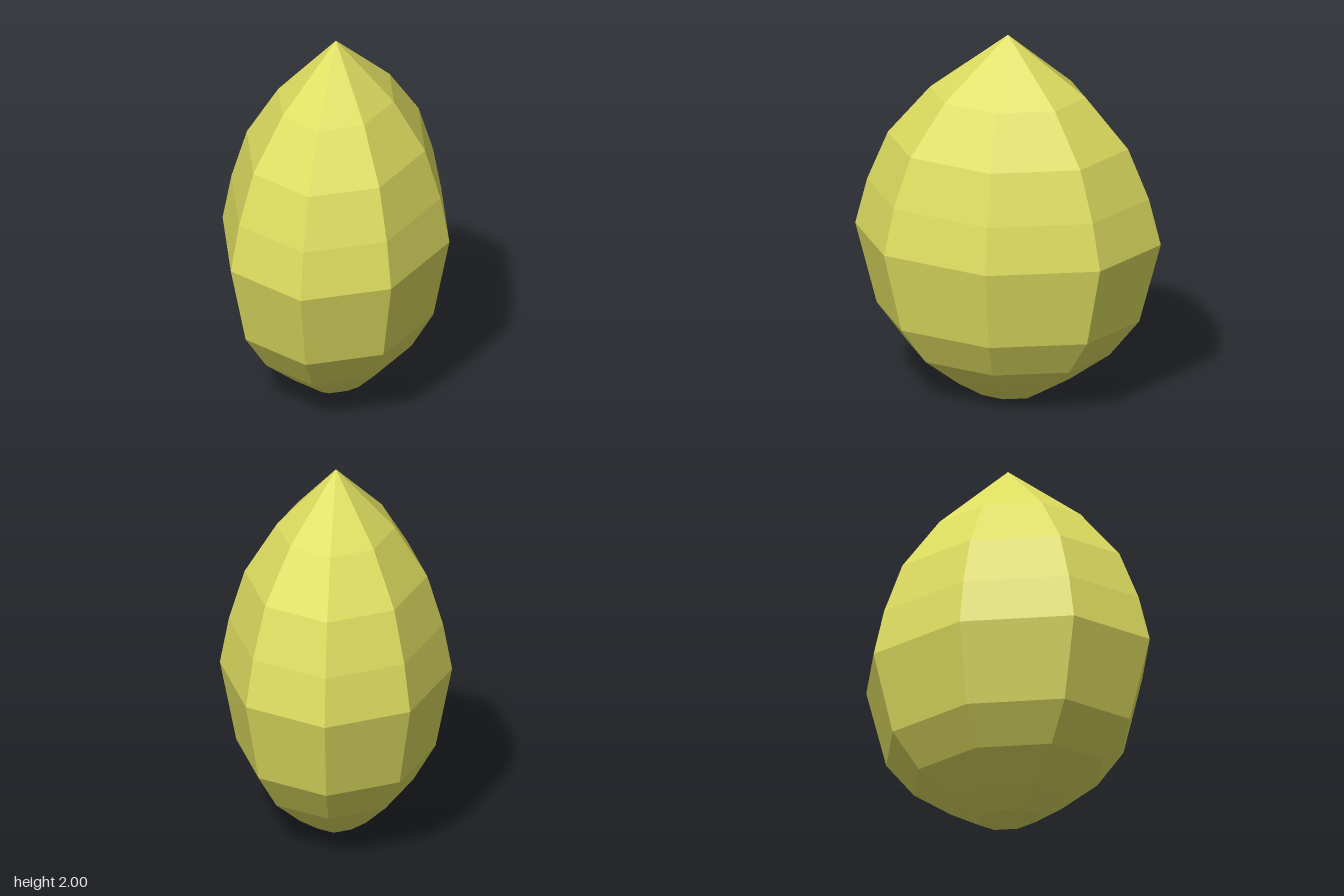
import * as THREE from 'three';

export function createModel() {
  const group = new THREE.Group();
  group.name = 'facetedEgg';

  const yellow = new THREE.MeshStandardMaterial({ color: 0xdedd60, flatShading: true });
  yellow.name = 'yellow';

  // Half profile from the blunt bottom to the pointed tip: radius along x, height
  const profile = [
    [0, 0], [0.125, 0.015], [0.243, 0.105], [0.4, 0.255], [0.518, 0.455],
    [0.603, 0.89], [0.556, 1.14], [0.474, 1.41], [0.307, 1.68], [0, 2],
  ].map(([r, y]) => new THREE.Vector2(r, y));

  // Eight-sided body, stretched front to back
  const geometry = new THREE.LatheGeometry(profile, 8);
  geometry.scale(1, 1, 1.338);

  const body = new THREE.Mesh(geometry, yellow);
  body.name = 'body';
  group.add(body);
  return group;
}
